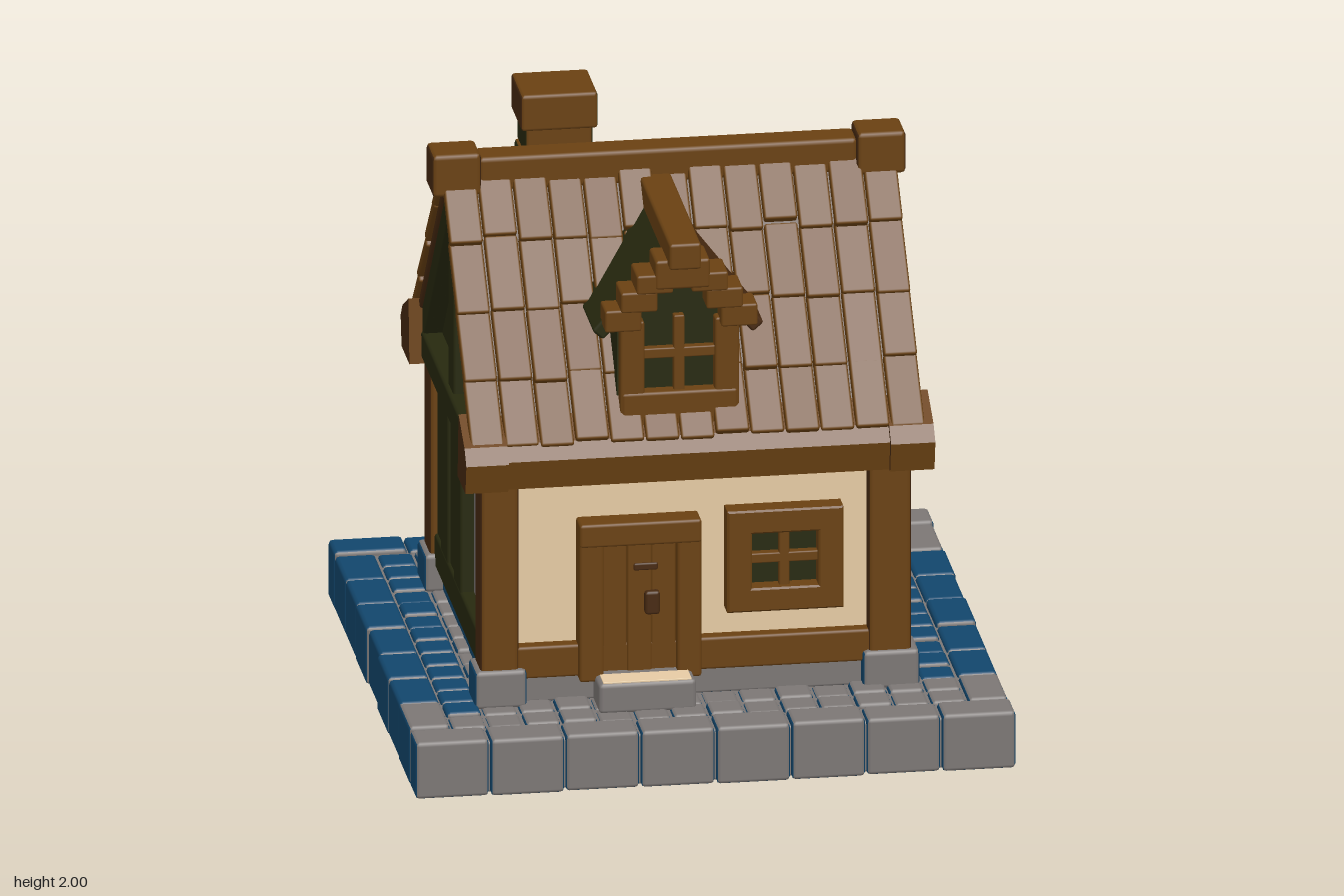
import * as THREE from 'three';
import { RoundedBoxGeometry } from 'three/addons/geometries/RoundedBoxGeometry.js';

const flat = (name, color) => {
  const m = new THREE.MeshStandardMaterial({ color });
  m.name = name;
  return m;
};

export function createModel() {
  const brown = flat('timber brown', 0x6a4112);
  const dark = flat('dark timber', 0x472910);
  const green = flat('mossy green', 0x27290f);
  const cream = flat('cream plaster', 0xe6cba4);
  const grey = flat('grey stone', 0x7c7775);
  const blue = flat('blue stone', 0x12466c);
  const timber = [dark, dark, brown, brown, brown, brown];
  const masonry = [blue, blue, grey, blue, grey, grey];

  let seed = 7;
  const rnd = () => (seed = (seed * 16807) % 2147483647) / 2147483647;
  const jit = (a) => (rnd() - 0.5) * 2 * a;

  const model = new THREE.Group();
  model.name = 'cottage';
  const group = (name, parent = model) => {
    const g = new THREE.Group();
    g.name = name;
    parent.add(g);
    return g;
  };
  const add = (parent, name, geo, mat) => {
    const m = new THREE.Mesh(geo, mat);
    m.name = name;
    parent.add(m);
    return m;
  };
  // softened box given by its extents
  const box = (p, name, mat, x0, x1, y0, y1, z0, z1, r = 0.01) => {
    const w = x1 - x0, h = y1 - y0, d = z1 - z0;
    const rad = Math.min(r, Math.min(w, h, d) * 0.4);
    const m = add(p, name, new RoundedBoxGeometry(w, h, d, 1, rad), mat);
    m.position.set((x0 + x1) / 2, (y0 + y1) / 2, (z0 + z1) / 2);
    return m;
  };
  // outline in (z, y) pushed along x
  const extrudeX = (p, name, mat, pts, x0, x1) => {
    const shape = new THREE.Shape(pts.map(([z, y]) => new THREE.Vector2(-z, y)));
    const geo = new THREE.ExtrudeGeometry(shape, { depth: x1 - x0, bevelEnabled: false });
    geo.rotateY(Math.PI / 2).translate(x0, 0, 0);
    return add(p, name, geo, mat);
  };

  // ---- stone terrace ----
  const base = group('stoneTerrace');
  const mossy = (x, z) =>
    (x < -0.72 && z < 0.68) || (x < -0.4 && z < -0.76) || (x > 0.72 && z > -0.52 && z < 0.58);
  const stone = (x0, x1, z0, z1, y0, top) =>
    box(base, 'pavingStone',
      [blue, blue, mossy((x0 + x1) / 2, (z0 + z1) / 2) ? blue : grey, blue, grey, grey],
      x0 + 0.003, x1 - 0.003, y0, top, z0 + 0.003, z1 - 0.003, 0.014);
  box(base, 'terraceCore', masonry, -0.95, 0.95, 0.005, 0.18, -0.93, 0.93);
  const rim = 0.14, nx = 8, nz = 7;
  for (const s of [-1, 1]) {
    for (let i = 0; i < nx; i++) {
      const a = -0.985 + (1.97 * i) / nx, e = 0.955 + jit(0.006);
      stone(a, a + 1.97 / nx, s > 0 ? 0.955 - rim : -e, s > 0 ? e : rim - 0.955, 0, 0.197 + jit(0.005));
    }
    for (let i = 0; i < nz; i++) {
      const L = 2 * (0.955 - rim), a = -0.955 + rim + (L * i) / nz, e = 0.982 + jit(0.005);
      stone(s > 0 ? 0.985 - rim : -e, s > 0 ? e : rim - 0.985, a, a + L / nz, 0, 0.197 + jit(0.005));
    }
  }
  for (let i = 0; i < 14; i++) for (let j = 0; j < 14; j++) {
    const w = 1.69 / 14, d = 1.63 / 14, x = -0.845 + i * w, z = -0.815 + j * d;
    if (Math.abs(x + w / 2) < 0.6 && Math.abs(z + d / 2) < 0.5) continue;
    stone(x, x + w, z, z + d, 0.1, 0.192 + jit(0.006));
  }

  // ---- walls ----
  const house = group('house');
  box(house, 'foundation', masonry, -0.68, 0.66, 0.18, 0.28, -0.58, 0.59);
  box(house, 'plasterWalls', [grey, grey, cream, cream, cream, cream], -0.66, 0.635, 0.27, 1.0, -0.56, 0.57, 0.005);
  for (const [x0, x1] of [[-0.72, -0.595], [0.55, 0.69]])
    for (const [z0, z1] of [[0.5, 0.625], [-0.605, -0.47]]) {
      box(house, 'cornerPost', timber, x0, x1, 0.28, 0.98, z0, z1, 0.015);
      box(house, 'cornerStone', masonry, x0 - 0.02, x1 + 0.025, 0.18, 0.31, z0 - 0.015, z1 + 0.015, 0.015);
    }
  box(house, 'frontSill', brown, -0.6, 0.56, 0.27, 0.38, 0.5, 0.615);
  box(house, 'backSill', brown, -0.6, 0.56, 0.27, 0.38, -0.6, -0.5);
  box(house, 'leftSill', green, 0.6, 0.68, 0.265, 0.38, -0.5, 0.5);
  box(house, 'rightSill', green, -0.705, -0.62, 0.265, 0.38, -0.5, 0.5);
  box(house, 'leftStud', green, 0.6, 0.67, 0.37, 0.98, -0.07, 0.1);
  // planked half of the right wall
  for (let i = 0; i < 4; i++)
    box(house, 'wallPlank', green, -0.695 - (i % 2) * 0.01, -0.62, 0.37, 0.98, -0.48 + i * 0.14, -0.34 + i * 0.14);

  // ---- door ----
  const door = group('door', house);
  box(door, 'doorJamb', brown, -0.4, -0.32, 0.26, 0.79, 0.55, 0.65);
  box(door, 'doorJamb', brown, -0.08, 0, 0.26, 0.79, 0.55, 0.65);
  box(door, 'doorLintel', brown, -0.4, 0, 0.725, 0.805, 0.55, 0.655);
  for (let i = 0; i < 3; i++)
    box(door, 'doorPlank', brown, -0.32 + i * 0.08, -0.24 + i * 0.08, 0.27, 0.73, 0.56, 0.615 + (i % 2) * 0.008, 0.006);
  box(door, 'doorHandle', dark, -0.185, -0.135, 0.48, 0.56, 0.61, 0.645);
  box(door, 'hinge', dark, -0.22, -0.14, 0.63, 0.655, 0.615, 0.63);
  box(door, 'doorStep', grey, -0.35, -0.03, 0.18, 0.285, 0.6, 0.74, 0.015);
  box(door, 'stepTread', cream, -0.335, -0.045, 0.28, 0.288, 0.65, 0.73, 0.002);

  // ---- windows: facing +z, then turned into place ----
  const makeWindow = (name, w, h, rim, pane, bars, parent = house) => {
    const g = group(name, parent);
    const rect = (o, a, b) => o.moveTo(-a, -b).lineTo(a, -b).lineTo(a, b).lineTo(-a, b).closePath();
    const shape = rect(new THREE.Shape(), w / 2 - 0.006, h / 2 - 0.006);
    shape.holes.push(rect(new THREE.Path(), w / 2 - rim, h / 2 - rim));
    add(g, 'windowFrame', new THREE.ExtrudeGeometry(shape, {
      depth: 0.075, bevelThickness: 0.006, bevelSize: 0.006, bevelSegments: 1 }), brown);
    box(g, 'windowPane', pane, -w / 2 + rim, w / 2 - rim, -h / 2 + rim, h / 2 - rim, 0.012, 0.021, 0.001);
    if (bars) {
      box(g, 'windowBar', brown, -0.017, 0.017, -h / 2 + rim, h / 2 - rim, 0.02, 0.055, 0.005);
      box(g, 'windowBar', brown, -w / 2 + rim, w / 2 - rim, -0.017, 0.017, 0.02, 0.055, 0.005);
    }
    return g;
  };
  makeWindow('frontWindow', 0.38, 0.35, 0.075, green, true).position.set(0.275, 0.645, 0.56);
  [[0.37, green, true], [-0.1, cream, false]].forEach(([x, pane, bars]) => {
    const g = makeWindow('backWindow', 0.4, 0.37, 0.08, pane, bars);
    g.position.set(x, 0.645, -0.55);
    g.rotation.y = Math.PI;
  });
  // lattice window on the left wall
  const lattice = group('sideLattice', house);
  for (const [y0, y1] of [[0.43, 0.5], [0.62, 0.66], [0.75, 0.82]])
    box(lattice, 'latticeRail', dark, 0.62, 0.72, y0, y1, -0.29, 0.025);
  for (const [z0, z1] of [[-0.035, 0.03], [-0.125, -0.095], [-0.23, -0.165]])
    box(lattice, 'latticeBar', dark, 0.62, 0.705, 0.45, 0.8, z0, z1);
  box(lattice, 'latticePane', green, 0.634, 0.642, 0.48, 0.77, -0.2, 0.02, 0.001);

  // ---- main roof ----
  const roof = group('roof');
  const slope = 1.15, ang = Math.atan(slope), top = 1.86;
  extrudeX(roof, 'gableBody', green, [[-0.65, 0.97], [0.65, 0.97], [0.65, 1.05], [0, 1.79], [-0.65, 1.05]], -0.675, 0.655);
  // board lying on the pitch at distance z from the ridge, sunk by depth
  const onPitch = (name, mat, s, x0, x1, z, len, th, depth, tilt = 0) => {
    const m = box(roof, name, mat, x0, x1, -th / 2, th / 2, -len / 2, len / 2, 0.008);
    m.position.y = top - slope * z - depth * Math.cos(ang);
    m.position.z = s * (z - depth * Math.sin(ang));
    m.rotation.x = s * (ang - tilt);
  };
  const cols = 13, cw = 1.49 / cols;
  for (const s of [-1, 1]) {
    onPitch('roofBoard', dark, s, -0.745, 0.715, 0.34, 0.94, 0.03, 0.055);
    for (let c = 0; c < cols; c++) for (let r = 0; r < 4; r++) {
      const x = -0.76 + c * cw;
      onPitch('shingle', brown, s, x + 0.003, x + cw - 0.003, 0.11 + r * 0.158 + jit(0.012), 0.26, 0.035,
        0.018 + jit(0.007), 0.06 + jit(0.02));
    }
    for (const [x0, x1] of [[-0.735, -0.66], [0.64, 0.705]]) {
      onPitch('bargeBoard', green, s, x0, x1, 0.36, 0.9, 0.09, 0.1);
      for (let i = 0; i < 11; i++) {
        const z = 0.08 + i * 0.048, y = top - 0.19 - slope * z;
        box(roof, 'steppedTrim', green, x0 + 0.012, x1 - 0.012, y, y + 0.09, s > 0 ? z - 0.03 : -z - 0.03, s > 0 ? z + 0.03 : -z + 0.03, 0.005);
      }
    }
    // eave beam with chunky ends
    const eave = (g) => [[0.52, 0.95], [0.68 + g, 0.95], [0.7 + g, 1.05], [0.66 + g, 1.1], [0.54, 1.17]].map(([z, y]) => [z * s, y]);
    extrudeX(roof, 'eaveBeam', brown, eave(-0.01), -0.65, 0.62);
    extrudeX(roof, 'eaveEnd', [dark, brown], eave(0.01), -0.78, -0.64);
    extrudeX(roof, 'eaveEnd', [dark, brown], eave(0.01), 0.61, 0.755);
  }
  box(roof, 'ridgeBeam', brown, -0.64, 0.6, 1.75, 1.865, -0.06, 0.055, 0.015);
  box(roof, 'ridgeEnd', timber, -0.795, -0.635, 1.745, 1.89, -0.065, 0.08, 0.015);
  box(roof, 'ridgeEnd', timber, 0.595, 0.755, 1.745, 1.89, -0.065, 0.08, 0.015);
  for (const [x0, x1] of [[-0.74, -0.66], [0.64, 0.71]]) {
    box(roof, 'gableTie', green, x0, x1, 0.965, 1.06, -0.57, 0.57);
    box(roof, 'kingPost', green, x0 + 0.015, x1 - 0.015, 1.05, 1.75, -0.045, 0.065);
  }

  // ---- dormer ----
  const dormer = group('dormer');
  dormer.position.x = -0.065;
  const face = new THREE.Shape([[-0.2, 1.05], [0.2, 1.05], [0.2, 1.46], [0, 1.69], [-0.2, 1.46]].map((p) => new THREE.Vector2(...p)));
  const body = add(dormer, 'dormerBody', new THREE.ExtrudeGeometry(face, { depth: 0.48, bevelEnabled: false }), green);
  body.position.z = 0.08;
  for (const s of [-1, 1]) {
    const slab = box(dormer, 'dormerRoof', s > 0 ? dark : green, -0.2, 0.2, -0.025, 0.025, -0.26, 0.26);
    slab.position.set(s * 0.13, 1.575, 0.31);
    slab.rotation.z = -s * 0.84;
    const pair = (name, a, b, y0, y1, z0, z1) =>
      box(dormer, name, brown, s > 0 ? a : -b, s > 0 ? b : -a, y0, y1, z0, z1, 0.008);
    pair('dormerPost', 0.115, 0.195, 1.08, 1.48, 0.5, 0.605);
    pair('dormerStep', 0.13, 0.25, 1.46, 1.535, 0.53, 0.64);
    pair('dormerStep', 0.08, 0.2, 1.53, 1.6, 0.53, 0.655);
    pair('dormerStep', 0.03, 0.15, 1.595, 1.66, 0.53, 0.665);
  }
  box(dormer, 'dormerCrown', brown, -0.09, 0.09, 1.61, 1.71, 0.53, 0.67);
  box(dormer, 'dormerRidge', brown, -0.05, 0.055, 1.69, 1.78, 0.04, 0.71);
  box(dormer, 'dormerSill', brown, -0.19, 0.19, 1.1, 1.235, 0.5, 0.61);
  box(dormer, 'dormerBar', brown, -0.018, 0.018, 1.23, 1.49, 0.55, 0.59, 0.005);
  box(dormer, 'dormerBar', brown, -0.12, 0.12, 1.345, 1.38, 0.55, 0.59, 0.005);

  // ---- chimney ----
  const chimney = group('chimney');
  const brick = [green, green, brown, green, brown, green];
  box(chimney, 'chimneyFoot', green, -0.47, -0.21, 1.3, 1.58, -0.36, -0.1, 0.02);
  for (let i = 0; i < 3; i++) {
    const e = (i % 2) * 0.008;
    box(chimney, 'chimneyCourse', brick, -0.455 - e, -0.235 + e, 1.56 + i * 0.108, 1.67 + i * 0.108, -0.345 - e, -0.155 + e, 0.012);
  }
  box(chimney, 'chimneyCap', [green, dark, brown, brown, brown, dark], -0.472, -0.22, 1.875, 2, -0.365, -0.137, 0.012);
  // mossy shingles around the chimney
  for (let i = 0; i < 4; i++) {
    const x = -0.6 + i * 0.1;
    onPitch('mossyShingle', green, -1, x, x + 0.1, 0.2 + (i % 2) * 0.02, 0.38, 0.03, 0.006, 0.01);
  }
  return model;
}
